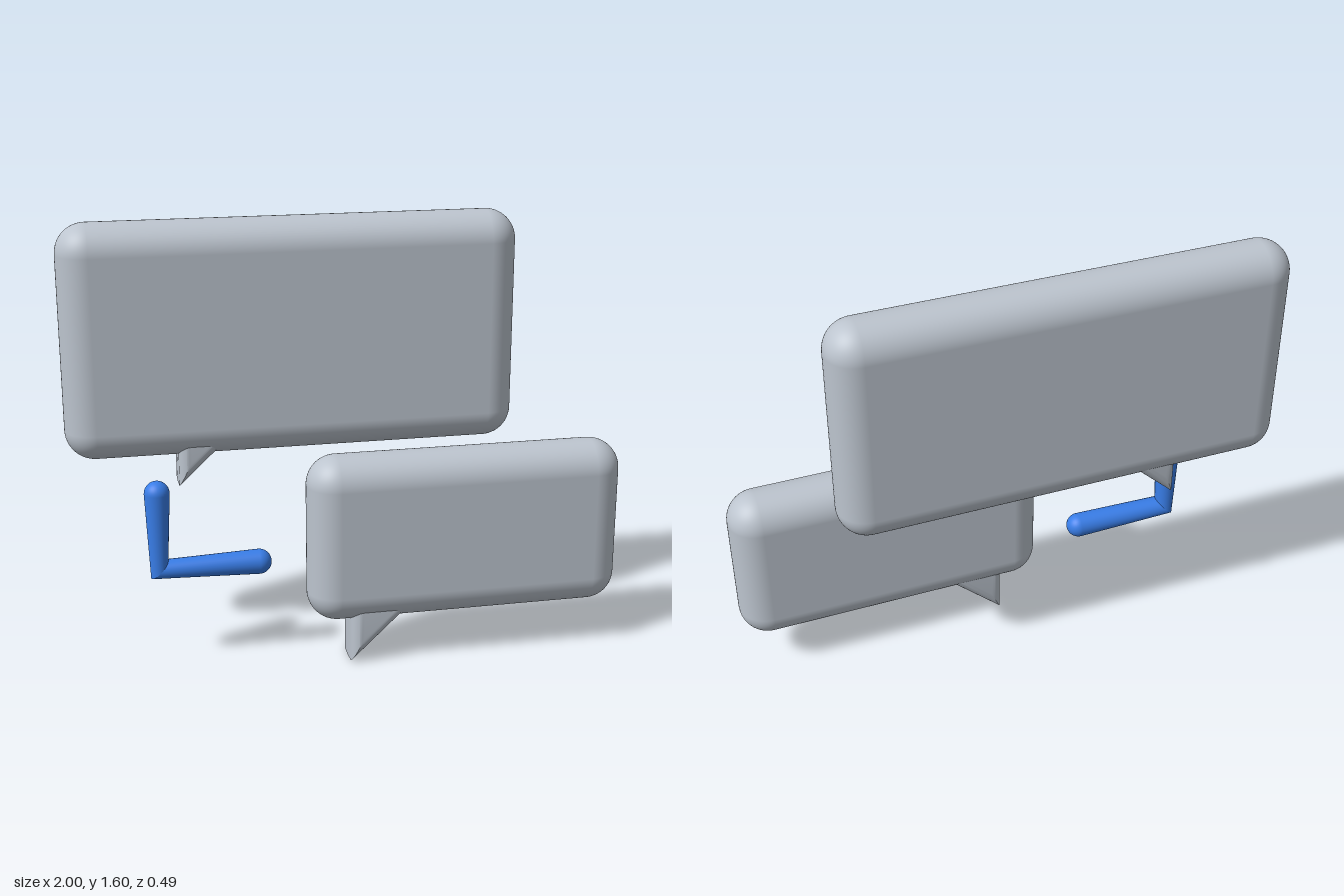
import * as THREE from 'three';
import { RoundedBoxGeometry } from 'three/addons/geometries/RoundedBoxGeometry.js';
import { toCreasedNormals } from 'three/addons/utils/BufferGeometryUtils.js';

const grey = new THREE.MeshStandardMaterial({ color: 0xbcc4ce });
grey.name = 'soft grey';
const blue = new THREE.MeshStandardMaterial({ color: 0x3b82f0 });
blue.name = 'bright blue';

function add(parent, name, geometry, material, x, y, z) {
  const mesh = new THREE.Mesh(geometry, material);
  mesh.name = name;
  mesh.position.set(x, y, z);
  parent.add(mesh);
  return mesh;
}

// Triangular tail with rounded front and back rims; its tip is at the origin
function tailGeometry() {
  const h = 0.32, w = 0.34, half = 0.088, round = 0.045, steps = 16;
  const inradius = (h + w - Math.hypot(h, w)) / 2;
  const shape = new THREE.Shape([[0, 0], [w, h], [0, h]].map(p => new THREE.Vector2(...p)));
  const geo = new THREE.ExtrudeGeometry(shape, { depth: 2, steps, bevelEnabled: false });
  const pos = geo.attributes.position;
  const cx = inradius, cy = h - inradius;
  for (let i = 0; i < pos.count; i++) {
    // each layer is the triangle shrunk towards its incentre along a quarter circle
    const t = pos.getZ(i) - 1;
    const a = Math.abs(t) * Math.PI / 2;
    const k = 1 - round * (1 - Math.cos(a)) / inradius;
    const z = Math.sign(t) * (half - round + round * Math.sin(a));
    pos.setXYZ(i, cx + (pos.getX(i) - cx) * k, cy + (pos.getY(i) - cy) * k, z);
  }
  return toCreasedNormals(geo, 0.6);
}

// Speech bubble: fully rounded slab plus tail
function bubble(name, x0, x1, y0, y1, z, tailX, tailY) {
  const group = new THREE.Group();
  group.name = name;
  add(group, 'bubblePanel', new RoundedBoxGeometry(x1 - x0, y1 - y0, 0.222, 8, 0.11), grey,
    (x0 + x1) / 2, (y0 + y1) / 2, z);
  add(group, 'bubbleTail', tailGeometry(), grey, tailX, tailY, z);
  return group;
}

// Upright arm with a domed top, narrowing in width to a 45 degree mitre at the bottom
function armGeometry(length) {
  const r = 0.046, narrow = 0.032;
  const profile = [new THREE.Vector2(r, 0)];
  for (let i = 0; i <= 10; i++) {
    const a = i / 10 * Math.PI / 2;
    profile.push(new THREE.Vector2(r * Math.cos(a), length + r * Math.sin(a)));
  }
  const geo = new THREE.LatheGeometry(profile, 32);
  const pos = geo.attributes.position;
  for (let i = 0; i < pos.count; i++) {
    if (pos.getY(i) > 0.001) continue;
    const x = pos.getX(i) * narrow / r;
    pos.setXYZ(i, x, x, pos.getZ(i));
  }
  return geo;
}

export function createModel() {
  const model = new THREE.Group();
  model.name = 'speechBubbles';
  model.add(bubble('largeBubble', -1, 0.66, 0.745, 1.6, -0.135, -0.6, 0.63));
  model.add(bubble('smallBubble', -0.17, 1, 0.16, 0.785, 0.135, -0.018, 0));

  // Blue corner bracket: two mitred arms, the second swung over the diagonal
  const bracket = new THREE.Group();
  bracket.name = 'cornerBracket';
  bracket.position.set(-0.693, 0.363, 0.041);
  add(bracket, 'uprightArm', armGeometry(0.29), blue, 0, 0, 0);
  const diagonal = new THREE.Vector3(1, 1, 0).normalize();
  add(bracket, 'levelArm', armGeometry(0.363), blue, 0, 0, 0)
    .quaternion.setFromAxisAngle(diagonal, Math.PI);
  model.add(bracket);
  return model;
}
